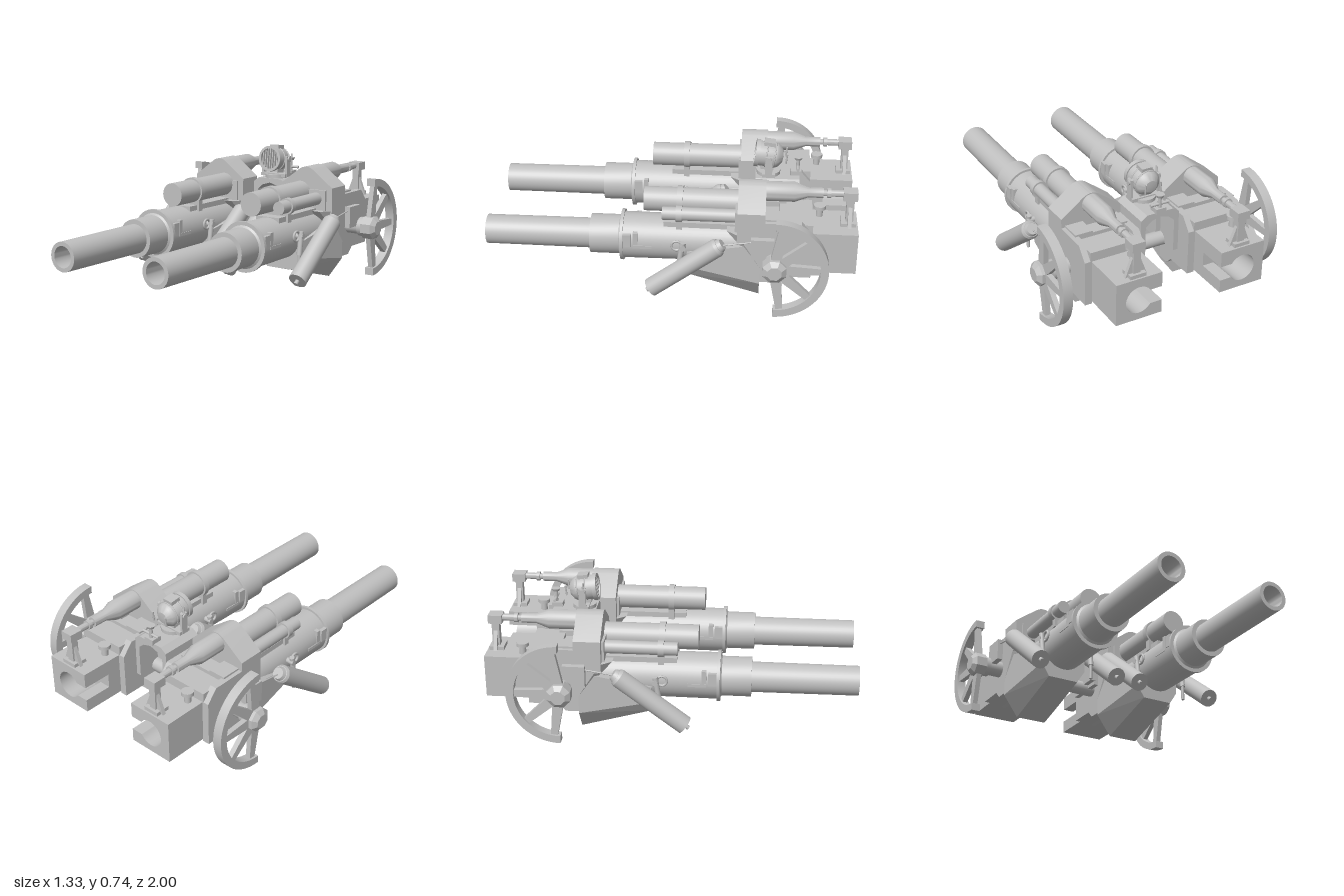
import * as THREE from 'three';
import { toCreasedNormals } from 'three/addons/utils/BufferGeometryUtils.js';
import { ConvexGeometry } from 'three/addons/geometries/ConvexGeometry.js';

const V = (x, y, z) => new THREE.Vector3(x, y, z);

export function createModel() {
  const grey = new THREE.MeshStandardMaterial({ color: 0xc0c0c0 });
  grey.name = 'plain grey';
  const model = new THREE.Group();
  model.name = 'twinGunMount';

  const add = (parent, name, geo, x = 0, y = 0, z = 0) => {
    const mesh = new THREE.Mesh(geo, grey);
    mesh.name = name;
    mesh.position.set(x, y, z);
    parent.add(mesh);
    return mesh;
  };
  const group = (name, x = 0, y = 0, z = 0) => {
    const g = new THREE.Group();
    g.name = name;
    g.position.set(x, y, z);
    model.add(g);
    return g;
  };
  // box given by its limits on each axis
  const box = (p, name, x0, x1, y0, y1, z0, z1) => add(p, name,
    new THREE.BoxGeometry(Math.abs(x1 - x0), y1 - y0, Math.abs(z1 - z0)), (x0 + x1) / 2, (y0 + y1) / 2, (z0 + z1) / 2);
  // round bar between two points
  const rod = (p, name, a, b, r0, r1 = r0, seg = 24) => {
    const d = b.clone().sub(a);
    const m = add(p, name, new THREE.CylinderGeometry(r1, r0, d.length(), seg));
    m.position.copy(a).add(b).multiplyScalar(0.5);
    m.quaternion.setFromUnitVectors(V(0, 1, 0), d.normalize());
    return m;
  };
  // turned part along z, profile of [radius, z]
  const turned = (p, name, pts, x, y, seg = 40) => add(p, name, toCreasedNormals(
    new THREE.LatheGeometry(pts.map(q => new THREE.Vector2(...q)), seg).rotateX(Math.PI / 2), 0.5), x, y, 0);
  const poly = pts => new THREE.Shape(pts.map(q => new THREE.Vector2(...q)));
  const extrude = (shape, depth) => toCreasedNormals(
    new THREE.ExtrudeGeometry(shape, { depth, bevelEnabled: false, curveSegments: 24 }), 0.5);

  function gun(s) {
    const g = group(s > 0 ? 'leftGun' : 'rightGun', s * 0.304);
    const AY = 0.292;

    // barrel, jacket and bore
    turned(g, 'barrel', [[0, -0.8], [0.12, -0.8], [0.126, 0.245], [0.139, 0.245], [0.139, 0.262], [0.118, 0.262],
      [0.107, 0.27], [0.107, 0.428], [0.082, 0.428], [0.08, 1], [0.058, 1], [0.058, 0.6], [0, 0.6]], 0, AY);
    for (const k of [-1, 1]) {
      box(g, 'jacketRail', k * 0.11, k * 0.129, 0.28, 0.297, 0.09, 0.19);
      box(g, 'jacketLug', k * 0.1, k * 0.127, 0.297, 0.37, 0.165, 0.19);
      box(g, 'jacketTab', k * 0.11, k * 0.131, 0.29, 0.36, 0.2, 0.245);
    }

    // breech block with a rear opening toward the inner side
    const face = poly([[-0.13, 0.18], [0.13, 0.18], [0.13, 0.415], [-0.13, 0.415]]);
    box(g, 'breechBlock', -0.13, 0.13, 0.18, 0.415, -0.84, -0.55);
    const slot = 0.04, R = 0.075, a = Math.asin(slot / R);
    const notch = new THREE.Shape();
    const inner = -s;
    const arc = [];
    for (let i = 0; i <= 20; i++) {
      const t = a + (2 * Math.PI - 2 * a) * i / 20;
      arc.push([inner * R * Math.cos(t), AY + R * Math.sin(t)]);
    }
    notch.setFromPoints([[inner * 0.13, AY + slot], ...arc, [inner * 0.13, AY - slot], [inner * 0.13, 0.18],
      [-inner * 0.13, 0.18], [-inner * 0.13, 0.415], [inner * 0.13, 0.415]].map(q => new THREE.Vector2(...q)));
    add(g, 'breechRing', extrude(notch, 0.16), 0, 0, -1);
    rod(g, 'breechKnobStem', V(-0.07, 0.41, -0.8), V(-0.07, 0.46, -0.8), 0.018);
    rod(g, 'breechKnob', V(-0.07, 0.46, -0.8), V(-0.07, 0.48, -0.8), 0.033);

    // cradle hull with chamfered sloping belly
    const section = (z, hw, top, ch, c, bottom) => [-1, 1].flatMap(k =>
      [V(k * hw, top, z), V(k * hw, ch, z), V(k * c, bottom, z)]);
    add(g, 'cradleHull', new ConvexGeometry([
      ...section(-0.1, 0.132, 0.27, 0.18, 0.087, 0.11), ...section(-0.49, 0.172, 0.36, 0.118, 0.087, 0)]));
    // gusset joining shield and hull
    add(g, 'hullGusset', new ConvexGeometry([-1, 1].flatMap(k => [V(k * 0.125, 0.41, -0.31), V(k * 0.172, 0.41, -0.37),
      V(k * 0.172, 0.22, -0.49), V(k * 0.172, 0.41, -0.51), V(k * 0.172, 0.2, -0.51)])));

    // shield block
    const sh = poly([[-0.172, 0.36], [0.172, 0.36], [0.172, 0.54], [0.045, 0.635]]);
    sh.quadraticCurveTo(0, 0.665, -0.045, 0.635);
    sh.lineTo(-0.172, 0.54);
    add(g, 'shieldBlock', extrude(sh, 0.145), 0, 0, -0.51);
    box(g, 'shieldPanel', -0.135, 0.135, 0.4, 0.525, -0.365, -0.352);

    // rear cheeks
    const cheek = poly([[0.49, 0.13], [0.56, 0.13], [0.6, 0.17], [0.76, 0.17], [0.76, 0.42], [0.7, 0.49], [0.49, 0.49]]);
    for (const k of [-1, 1]) {
      add(g, 'rearCheek', extrude(cheek, 0.04).rotateY(Math.PI / 2), k > 0 ? 0.132 : -0.172);
      box(g, 'cheekCap', k * 0.05, k * 0.15, 0.44, 0.5, -0.62, -0.5);
    }
    box(g, 'rearDeck', -0.14, 0.14, 0.42, 0.47, -0.76, -0.5);
    box(g, 'deckStrip', -0.125, 0.125, 0.47, 0.49, -0.62, -0.585);

    // recoil cylinders, their clamp and slide
    rod(g, 'recoilCylinder', V(-s * 0.036, 0.5, -0.4), V(-s * 0.036, 0.5, 0.14), 0.066, 0.066, 32);
    rod(g, 'smallRecoilCylinder', V(s * 0.075, 0.475, -0.4), V(s * 0.075, 0.475, 0.035), 0.036);
    rod(g, 'recoilClamp', V(-s * 0.036, 0.5, -0.07), V(-s * 0.036, 0.5, -0.038), 0.076, 0.076, 32);
    rod(g, 'smallClamp', V(s * 0.075, 0.475, -0.07), V(s * 0.075, 0.475, -0.038), 0.045);
    box(g, 'clampBase', -0.09, 0.09, 0.385, 0.455, -0.07, -0.038);
    box(g, 'slide', -0.075, 0.075, 0.38, 0.42, -0.36, 0.03);

    // recuperator behind the shield, with rod and anchor
    turned(g, 'recuperator', [[0, -0.92], [0.018, -0.92], [0.018, -0.85], [0.026, -0.85], [0.026, -0.83], [0.016, -0.83],
      [0.016, -0.81], [0.027, -0.81], [0.027, -0.73], [0.053, -0.66], [0.053, -0.45], [0, -0.45]], 0, 0.592);
    box(g, 'anchorHead', -0.036, 0.036, 0.565, 0.612, -0.99, -0.915);
    box(g, 'anchorPost', -0.02, 0.02, 0.41, 0.57, -0.975, -0.935);
    box(g, 'anchorFoot', -0.045, 0.045, 0.41, 0.435, -0.99, -0.91);
    for (const k of [-1, 1]) add(g, 'anchorGusset', new ConvexGeometry([V(k * 0.02, 0.43, -0.965), V(k * 0.02, 0.43, -0.945),
      V(k * 0.02, 0.52, -0.965), V(k * 0.02, 0.52, -0.945), V(k * 0.06, 0.415, -0.965), V(k * 0.06, 0.415, -0.945)]));

    // handles on both sides of the jacket
    for (const k of [-1, 1]) {
      rod(g, 'handlePin', V(k * 0.1, 0.31, -0.08), V(k * 0.165, 0.31, -0.08), 0.016, 0.016, 12);
      rod(g, 'handleBar', V(k * 0.15, 0.13, -0.06), V(k * 0.15, 0.24, -0.06), 0.009, 0.009, 12);
      rod(g, 'handleSleeve', V(k * 0.15, 0.21, -0.06), V(k * 0.15, 0.34, -0.08), 0.015, 0.015, 12);
      add(g, 'handleRing', new THREE.TorusGeometry(0.027, 0.007, 8, 20).rotateY(Math.PI / 2), k * 0.14, 0.315, -0.045);
    }
  }

  // sloping balance cylinder hung from a thin rod
  function balancer(x) {
    const g = group('balanceCylinder', x);
    const low = V(0, 0.105, 0.085), high = V(0, 0.37, -0.265);
    const dir = high.clone().sub(low).normalize();
    const at = d => high.clone().addScaledVector(dir, d);
    rod(g, 'cylinderBody', low, high, 0.05, 0.05, 32);
    rod(g, 'cylinderShoulder', high, at(0.015), 0.05, 0.042, 32);
    rod(g, 'cylinderNeck', at(0.015), at(0.035), 0.038, 0.03);
    rod(g, 'hangerRod', at(0.02), V(0, 0.41, -0.46), 0.004, 0.004, 8);
    const end = low.clone().addScaledVector(dir, -0.025);
    rod(g, 'endStub', end, low, 0.012, 0.012, 12);
    box(g, 'hangerBracket', -0.016, 0.016, 0.31, 0.43, -0.56, -0.44);
  }

  // half wheel with hub and spokes
  function wheel(s) {
    const g = group(s > 0 ? 'leftWheel' : 'rightWheel', s * 0.613, 0.302, -0.565);
    const rim = new THREE.Shape();
    rim.absarc(0, 0, 0.28, -Math.PI / 2, Math.PI / 2, false);
    rim.absarc(0, 0, 0.238, Math.PI / 2, -Math.PI / 2, true);
    add(g, 'rim', extrude(rim, 0.052).rotateY(Math.PI / 2), -0.026);
    for (const deg of [-82, -42, 0, 42, 82]) {
      const spoke = poly([[0.04, -0.03], [0.245, -0.018], [0.245, 0.018], [0.04, 0.03]]);
      const m = add(g, 'spoke', extrude(spoke, 0.028).rotateY(Math.PI / 2), -0.014);
      m.rotation.x = deg * Math.PI / 180;
    }
    const hub = (x0, x1, r0, r1) => {
      const m = rod(g, 'hub', V(s * x0, 0, 0), V(s * x1, 0, 0), r0, r1, 8);
      m.geometry = m.geometry.rotateY(Math.PI / 8).toNonIndexed();
      m.geometry.computeVertexNormals();
    };
    hub(-0.03, 0.032, 0.067, 0.067);
    hub(0.032, 0.053, 0.067, 0.04);
    rod(g, 'axle', V(-s * 0.15, 0, 0), V(0, 0, 0), 0.045);
    rod(g, 'axleCollar', V(-s * 0.06, 0, 0), V(-s * 0.03, 0, 0), 0.055);
  }

  for (const s of [-1, 1]) {
    gun(s);
    wheel(s);
    balancer(s * 0.535);
    balancer(s * 0.073);
  }
  rod(model, 'centreAxle', V(-0.15, 0.302, -0.565), V(0.15, 0.302, -0.565), 0.04);

  // arched stand between the guns
  const arch = poly([[-0.113, 0.29], [-0.085, 0.29], [-0.085, 0.475], [-0.05, 0.505], [0, 0.52], [0.05, 0.505],
    [0.085, 0.475], [0.085, 0.29], [0.113, 0.29], [0.113, 0.52], [0.078, 0.545], [-0.078, 0.545], [-0.113, 0.52]]);
  add(model, 'lampStand', extrude(arch, 0.24), 0, 0, -0.69);

  // searchlight in its yoke
  rod(model, 'lampTurntable', V(0, 0.54, -0.52), V(0, 0.565, -0.52), 0.065);
  box(model, 'yokeBase', -0.085, 0.085, 0.553, 0.572, -0.555, -0.485);
  for (const k of [-1, 1]) {
    box(model, 'yokeArm', k * 0.074, k * 0.088, 0.555, 0.675, -0.54, -0.5);
    rod(model, 'yokePivot', V(k * 0.06, 0.66, -0.52), V(k * 0.096, 0.66, -0.52), 0.015, 0.015, 12);
  }
  const lamp = group('searchlight', 0, 0.655, -0.515);
  lamp.rotation.x = -0.12;
  turned(lamp, 'lampDrum', [[0, -0.085], [0.035, -0.08], [0.06, -0.06], [0.068, -0.045], [0.068, 0.05], [0.075, 0.05],
    [0.075, 0.072], [0.06, 0.072], [0.06, 0.035], [0, 0.035]], 0, 0);
  for (let i = -3; i <= 3; i++) {
    const x = i * 0.016, h = Math.sqrt(0.061 ** 2 - x * x);
    box(lamp, 'louver', x - 0.003, x + 0.003, -h, h, 0.04, 0.066);
  }
  for (const z of [-0.035, 0.01]) add(lamp, 'drumBand', new THREE.TorusGeometry(0.069, 0.004, 8, 32), 0, 0, z);
  box(lamp, 'lampVent', -0.03, 0.03, 0.055, 0.083, -0.03, 0.03);
  box(lamp, 'lampBox', -0.035, 0.035, -0.078, -0.05, -0.04, 0.03);
  rod(lamp, 'lampSight', V(-0.079, 0.02, 0), V(-0.079, 0.055, 0.01), 0.005, 0.005, 8);
  for (const k of [-1, 1]) rod(lamp, 'rearHandle', V(k * 0.045, -0.02, -0.1), V(k * 0.045, 0.035, -0.1), 0.005, 0.005, 8);

  // aiming post behind the lamp
  box(model, 'postBase', -0.03, 0.03, 0.54, 0.57, -0.7, -0.64);
  rod(model, 'post', V(0, 0.56, -0.68), V(0, 0.63, -0.68), 0.01, 0.01, 12);
  rod(model, 'postCap', V(0, 0.63, -0.68), V(0, 0.645, -0.68), 0.018, 0.025, 16);
  rod(model, 'postCrossbar', V(-0.055, 0.59, -0.68), V(0.055, 0.59, -0.68), 0.008, 0.008, 12);

  return model;
}
